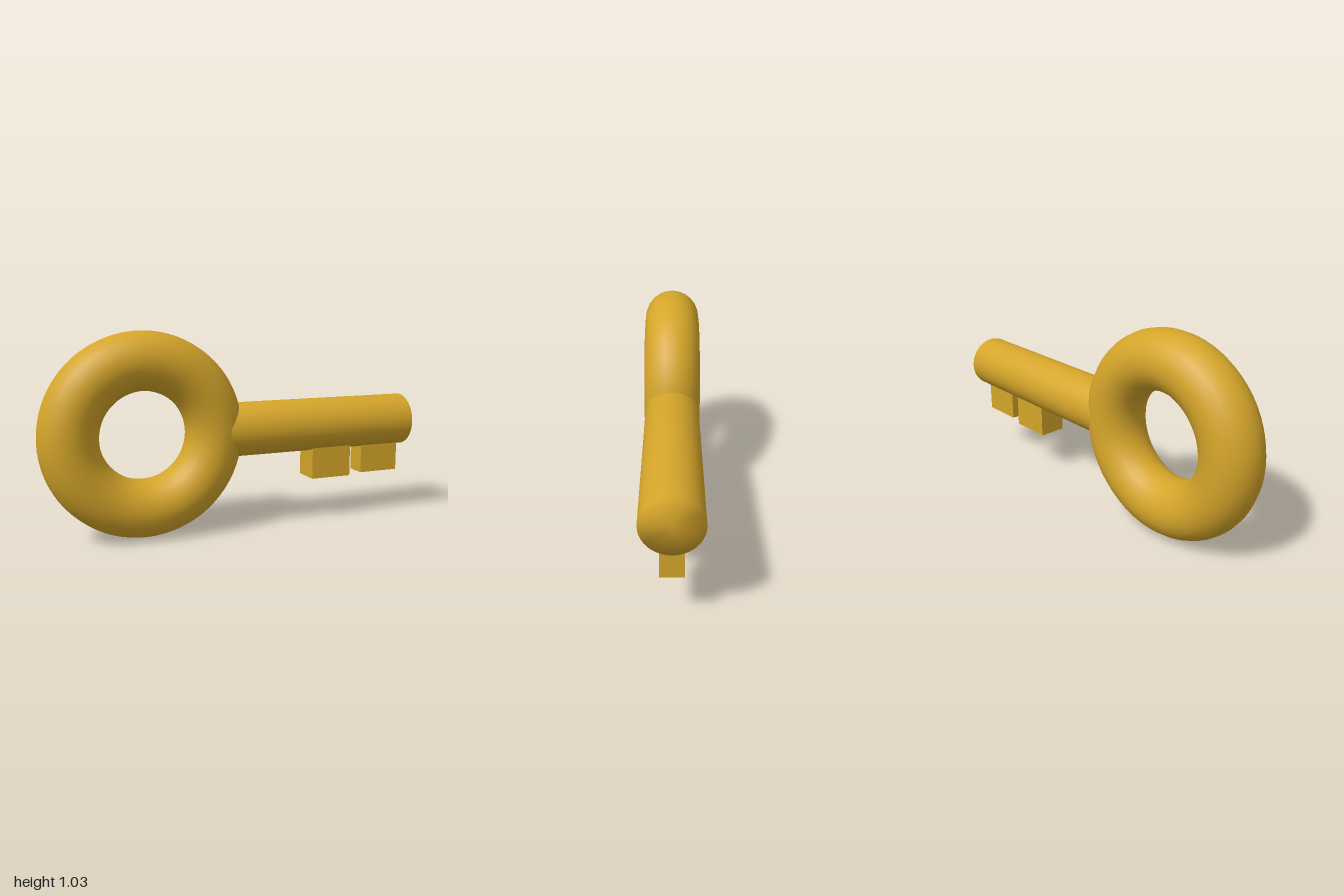
import * as THREE from 'three';
import { mergeVertices } from 'three/addons/utils/BufferGeometryUtils.js';

const AXIS_Y = 0.52; // height of the shaft axis and ring centre

export function createModel() {
  const key = new THREE.Group();
  key.name = 'key';
  const gold = new THREE.MeshStandardMaterial({ color: 0xd4a52a });

  const add = (name, geometry, x, y) => {
    const mesh = new THREE.Mesh(geometry, gold);
    mesh.name = name;
    mesh.position.set(x, y, 0);
    key.add(mesh);
    return mesh;
  };

  // Ring-shaped handle
  add('bow', new THREE.TorusGeometry(0.369, 0.147, 24, 72), -0.484, AXIS_Y);

  // Round shaft, starting inside the ring; its end is shaded smoothly into the side
  const start = -0.12, end = 1;
  let shaft = new THREE.CylinderGeometry(0.14, 0.14, end - start, 40);
  shaft.deleteAttribute('uv');
  shaft.deleteAttribute('normal');
  shaft = mergeVertices(shaft);
  shaft.computeVertexNormals();
  shaft.rotateZ(-Math.PI / 2);
  add('shaft', shaft, (start + end) / 2, AXIS_Y);

  // Two teeth under the shaft: x range, bottom, depth
  const toothTop = 0.47;
  const teeth = [
    ['innerTooth', 0.422, 0.65, 0.234, 0.146],
    ['outerTooth', 0.732, 0.96, 0.239, 0.108],
  ];
  for (const [name, x0, x1, bottom, depth] of teeth) {
    add(name, new THREE.BoxGeometry(x1 - x0, toothTop - bottom, depth),
      (x0 + x1) / 2, (toothTop + bottom) / 2);
  }

  return key;
}
